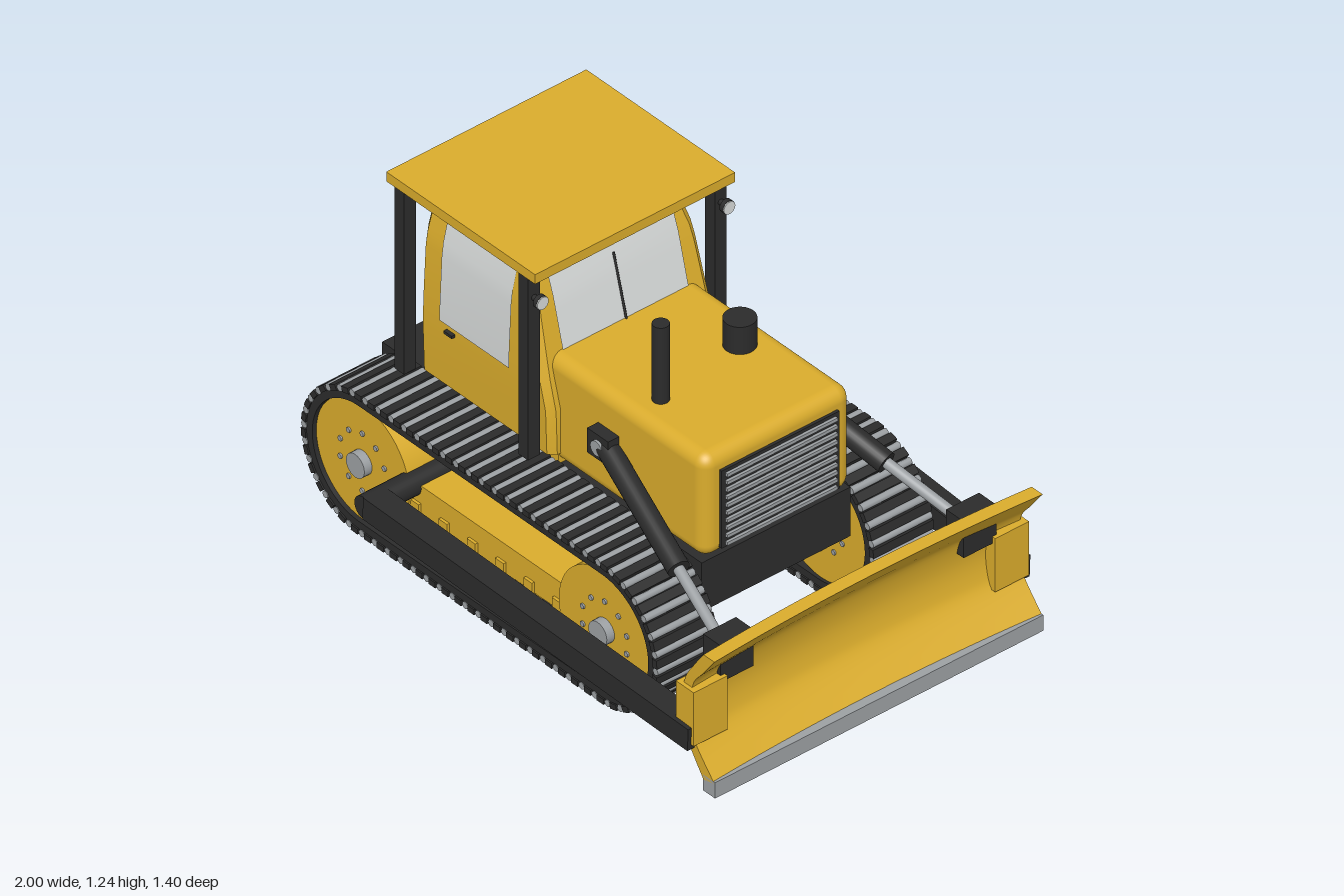
import * as THREE from 'three';
import { mergeGeometries, toCreasedNormals } from 'three/addons/utils/BufferGeometryUtils.js';
import { RoundedBoxGeometry } from 'three/addons/geometries/RoundedBoxGeometry.js';

const mat = (name, color, side = THREE.FrontSide) => {
  const m = new THREE.MeshStandardMaterial({ color, side });
  m.name = name;
  return m;
};

export function createModel() {
  const yellow = mat('yellow paint', 0xdaac2c);
  const dark = mat('dark steel', 0x2b2b2b);
  const steel = mat('bare steel', 0x9ca0a3);
  const glass = mat('glass', 0xd6d9d8, THREE.DoubleSide);
  const root = new THREE.Group();
  root.name = 'bulldozer';
  const V = (x, y, z) => new THREE.Vector3(x, y, z);

  const add = (name, geo, material, parent = root) => {
    const m = new THREE.Mesh(geo, material);
    m.name = name;
    parent.add(m);
    return m;
  };
  // box given by its min and max on each axis
  const box = (name, m, x0, x1, y0, y1, z0, z1, parent) => {
    const b = add(name, new THREE.BoxGeometry(x1 - x0, y1 - y0, z1 - z0), m, parent);
    b.position.set((x0 + x1) / 2, (y0 + y1) / 2, (z0 + z1) / 2);
    return b;
  };
  // cylinder between two points
  const rod = (name, m, a, b, r, parent, seg = 24) => {
    const c = add(name, new THREE.CylinderGeometry(r, r, a.distanceTo(b), seg), m, parent);
    c.position.copy(a).add(b).multiplyScalar(0.5);
    c.quaternion.setFromUnitVectors(V(0, 1, 0), b.clone().sub(a).normalize());
    return c;
  };

  // ---- hull and hood
  box('hull', dark, -0.92, 0.53, 0.315, 0.495, -0.29, 0.29);
  const hood = add('hood', new RoundedBoxGeometry(0.74, 0.375, 0.58, 5, 0.045), yellow);
  hood.position.set(0.17, 0.6875, 0);
  box('grille', dark, 0.5, 0.55, 0.53, 0.815, -0.23, 0.23);
  for (let i = 0; i < 10; i++) {
    const y = 0.545 + i * 0.028;
    box('grilleSlat', steel, 0.545, 0.56, y - 0.006, y + 0.006, -0.215, 0.215);
  }
  rod('exhaust', dark, V(0.222, 0.86, 0.185), V(0.222, 1.155, 0.185), 0.027);
  rod('airCleaner', dark, V(0.168, 0.86, -0.17), V(0.168, 0.975, -0.17), 0.052);

  // ---- cab: rows of [y, rear x, front x, half width]
  const rows = [[0.54, -0.71, -0.11, 0.325], [0.7, -0.71, -0.11, 0.33], [0.8, -0.71, -0.138, 0.329],
    [1.0, -0.709, -0.19, 0.32], [1.05, -0.707, -0.203, 0.314], [1.18, -0.70, -0.25, 0.283]];
  const cabAt = (y, k) => {
    let i = 0;
    while (i < rows.length - 2 && y > rows[i + 1][0]) i++;
    const [a, b] = [rows[i], rows[i + 1]];
    return THREE.MathUtils.lerp(a[k], b[k], (y - a[0]) / (b[0] - a[0]));
  };
  const pos = [], idx = [], c = 0.022;
  rows.forEach(([y, r, f, w]) => [[r + c, w], [f - c, w], [f, w - c], [f, c - w], [f - c, -w],
    [r + c, -w], [r, c - w], [r, w - c]].forEach(([x, z]) => pos.push(x, y, z)));
  for (let j = 0; j < rows.length - 1; j++) for (let i = 0; i < 8; i++) {
    const a = j * 8 + i, b = j * 8 + (i + 1) % 8;
    idx.push(a, b, b + 8, a, b + 8, a + 8);
  }
  const top = (rows.length - 1) * 8;
  for (let i = 1; i < 7; i++) idx.push(top, top + i, top + i + 1, 0, i + 1, i);
  const cabGeo = new THREE.BufferGeometry();
  cabGeo.setAttribute('position', new THREE.Float32BufferAttribute(pos, 3));
  cabGeo.setIndex(idx);
  add('cab', toCreasedNormals(cabGeo, 0.35), yellow);
  box('cabBase', yellow, -0.7, -0.12, 0.49, 0.545, -0.29, 0.29);

  // ---- windows follow the cab faces
  const pane = (name, m, u0, u1, ys, at) => {
    const p = [], ix = [];
    ys.forEach((y, j) => {
      p.push(...at(u0, y), ...at(u1, y));
      if (j) ix.push(2 * j - 2, 2 * j - 1, 2 * j + 1, 2 * j - 2, 2 * j + 1, 2 * j);
    });
    const g = new THREE.BufferGeometry();
    g.setAttribute('position', new THREE.Float32BufferAttribute(p, 3));
    g.setIndex(ix);
    add(name, toCreasedNormals(g, 0.35), m);
  };
  pane('windshield', glass, 0.245, -0.245, [0.86, 1.0, 1.05, 1.14], (u, y) => [cabAt(y, 2) + 0.005, y, u]);
  pane('rearWindow', glass, -0.22, 0.22, [0.83, 1.0, 1.05, 1.13], (u, y) => [cabAt(y, 1) - 0.005, y, u]);
  rod('wiper', dark, V(cabAt(0.87, 2) + 0.008, 0.87, 0), V(cabAt(1.085, 2) + 0.008, 1.085, 0), 0.004, root, 8);
  for (const s of [1, -1]) {
    const at = (u, y) => [u * s, y, s * (cabAt(y, 3) + 0.004)];
    pane('sideWindow', glass, s > 0 ? -0.61 : 0.295, s > 0 ? -0.295 : 0.61, [0.77, 0.8, 1.0, 1.05, 1.15], at);
    box('doorHandle', dark, -0.58, -0.543, 0.742, 0.752, s * 0.335 - 0.008, s * 0.335 + 0.008);
    for (const x of [-0.73, -0.167]) box('canopyPost', dark, x - 0.022, x + 0.022, 0.54, 1.212, s * 0.364 - 0.023, s * 0.364 + 0.023);
    rod('lampBracket', dark, V(-0.15, 1.13, s * 0.364), V(-0.122, 1.13, s * 0.364), 0.01);
    rod('lampHousing', dark, V(-0.124, 1.13, s * 0.364), V(-0.108, 1.13, s * 0.364), 0.023);
    rod('lampLens', glass, V(-0.11, 1.13, s * 0.364), V(-0.104, 1.13, s * 0.364), 0.022);
  }
  box('canopyRoof', yellow, -0.785, -0.11, 1.21, 1.245, -0.39, 0.39);

  // ---- tracks
  const xr = -0.74, xf = 0.36, cy = 0.265, len = xf - xr, zc = 0.4225;
  const stadium = (Type, r) => {
    const p = new Type();
    p.absarc(xf, cy, r, -Math.PI / 2, Math.PI / 2, false);
    p.absarc(xr, cy, r, Math.PI / 2, Math.PI * 1.5, false);
    p.closePath();
    return p;
  };
  const beltShape = stadium(THREE.Shape, 0.24);
  beltShape.holes.push(stadium(THREE.Path, 0.212));
  const beltGeo = new THREE.ExtrudeGeometry(beltShape, { depth: 0.225, bevelEnabled: false, curveSegments: 24 });
  beltGeo.translate(0, 0, zc - 0.1125);

  const R = 0.248, N = 64, loop = 2 * len + 2 * Math.PI * R;
  const onLoop = (s) => { // x, y and outward angle at distance s round the track
    s = ((s % loop) + loop) % loop;
    if (s < len) return [xr + s, cy + R, Math.PI / 2];
    s -= len;
    let a = Math.PI / 2 - s / R;
    if (s < Math.PI * R) return [xf + R * Math.cos(a), cy + R * Math.sin(a), a];
    s -= Math.PI * R;
    if (s < len) return [xf - s, cy - R, -Math.PI / 2];
    a = -Math.PI / 2 - (s - len) / R;
    return [xr + R * Math.cos(a), cy + R * Math.sin(a), a];
  };
  const around = (geo, shift) => mergeGeometries(Array.from({ length: N }, (_, i) => {
    const [x, y, a] = onLoop((i + shift) * loop / N);
    return geo.clone().rotateZ(a).translate(x, y, zc);
  }));
  const shoes = around(new THREE.BoxGeometry(0.02, 0.03, 0.236), 0);
  const pins = around(new THREE.CylinderGeometry(0.0125, 0.0125, 0.23, 8).rotateX(Math.PI / 2), 0.5);

  // ---- blade section, bowed backwards in the middle
  const bs = new THREE.Shape();
  bs.moveTo(0.995, 0.56);
  bs.splineThru([[0.94, 0.485], [0.9, 0.43], [0.882, 0.34], [0.89, 0.26], [0.915, 0.205], [0.995, 0.112]].map(([x, y]) => new THREE.Vector2(x, y)));
  bs.lineTo(0.945, 0.1);
  bs.splineThru([[0.88, 0.195], [0.855, 0.26], [0.847, 0.34], [0.862, 0.43], [0.9, 0.495], [0.945, 0.56]].map(([x, y]) => new THREE.Vector2(x, y)));
  const bladeGeo = new THREE.ExtrudeGeometry(bs, { depth: 1.28, steps: 14, bevelEnabled: false, curveSegments: 4 });
  bladeGeo.translate(0, 0, -0.64);
  const bp = bladeGeo.attributes.position;
  for (let i = 0; i < bp.count; i++) bp.setX(i, bp.getX(i) - 0.025 * (1 - (bp.getZ(i) / 0.64) ** 2));
  add('blade', toCreasedNormals(bladeGeo, 0.5), yellow);
  box('cuttingEdge', steel, 0.942, 0.998, 0.06, 0.118, -0.64, 0.64);

  // ---- parts repeated on both sides; s = 1 is the model's +z side
  for (const s of [1, -1]) {
    const g = new THREE.Group();
    g.name = s > 0 ? 'nearTrack' : 'farTrack';
    root.add(g);
    const side = (m) => { if (s < 0) m.position.z -= 2 * zc; };
    side(add('trackBelt', beltGeo, dark, g));
    side(add('trackShoes', shoes, dark, g));
    side(add('trackPins', pins, steel, g));
    const P = (x, y, z) => V(x, y, z * s);
    for (const x of [xr, xf]) {
      rod('driveWheel', yellow, P(x, cy, 0.32), P(x, cy, 0.52), 0.211, g, 48);
      rod('wheelHub', steel, P(x, cy, 0.27), P(x, cy, 0.55), 0.042, g);
      for (let i = 0; i < 10; i++) {
        const a = i * Math.PI / 5 + Math.PI / 2;
        const bx = x + 0.105 * Math.cos(a), by = cy + 0.105 * Math.sin(a);
        rod('wheelBolt', steel, P(bx, by, 0.315), P(bx, by, 0.526), 0.009, g, 8);
      }
    }
    const frame = box('trackFrame', yellow, -0.62, 0.25, 0.2, 0.305, -0.08, 0.08, g);
    frame.position.z = s * zc;
    for (let i = 0; i < 6; i++) {
      const x = -0.515 + i * 0.1285;
      const b = box('rollerBracket', yellow, x - 0.019, x + 0.019, 0.12, 0.24, -0.09, 0.09, g);
      b.position.z = s * zc;
      rod('trackRoller', dark, P(x, 0.11, 0.328), P(x, 0.11, 0.517), 0.056, g);
      rod('rollerCap', steel, P(x, 0.11, 0.322), P(x, 0.11, 0.523), 0.021, g, 12);
    }

    // push arm with its pivot
    const a = P(-0.535, 0.295, 0.655), b = P(0.905, 0.235, 0.625);
    const arm = add('pushArm', new THREE.BoxGeometry(0.085, 0.08, a.distanceTo(b)), dark);
    arm.position.copy(a).add(b).multiplyScalar(0.5);
    arm.lookAt(b);
    rod('armPivot', dark, P(-0.535, 0.295, 0.3), P(-0.535, 0.295, 0.695), 0.04);

    // blade side plates and lift cylinder
    const plate = box('bladeSidePlate', yellow, 0.836, 0.917, 0.213, 0.41, -0.066, 0.066);
    plate.position.z = s * 0.588;
    const bracket = box('bladeBracket', dark, 0.825, 0.904, 0.385, 0.52, -0.064, 0.064);
    bracket.position.z = s * 0.474;
    const mount = box('liftMount', dark, 0.06, 0.155, 0.66, 0.75, -0.025, 0.025);
    mount.position.z = s * 0.308;
    rod('liftPin', steel, P(0.11, 0.705, 0.29), P(0.11, 0.705, 0.342), 0.026);
    rod('liftCylinder', dark, P(0.11, 0.705, 0.305), P(0.56, 0.545, 0.405), 0.036);
    rod('liftRod', steel, P(0.55, 0.549, 0.403), P(0.86, 0.445, 0.475), 0.018);
  }
  return root;
}
